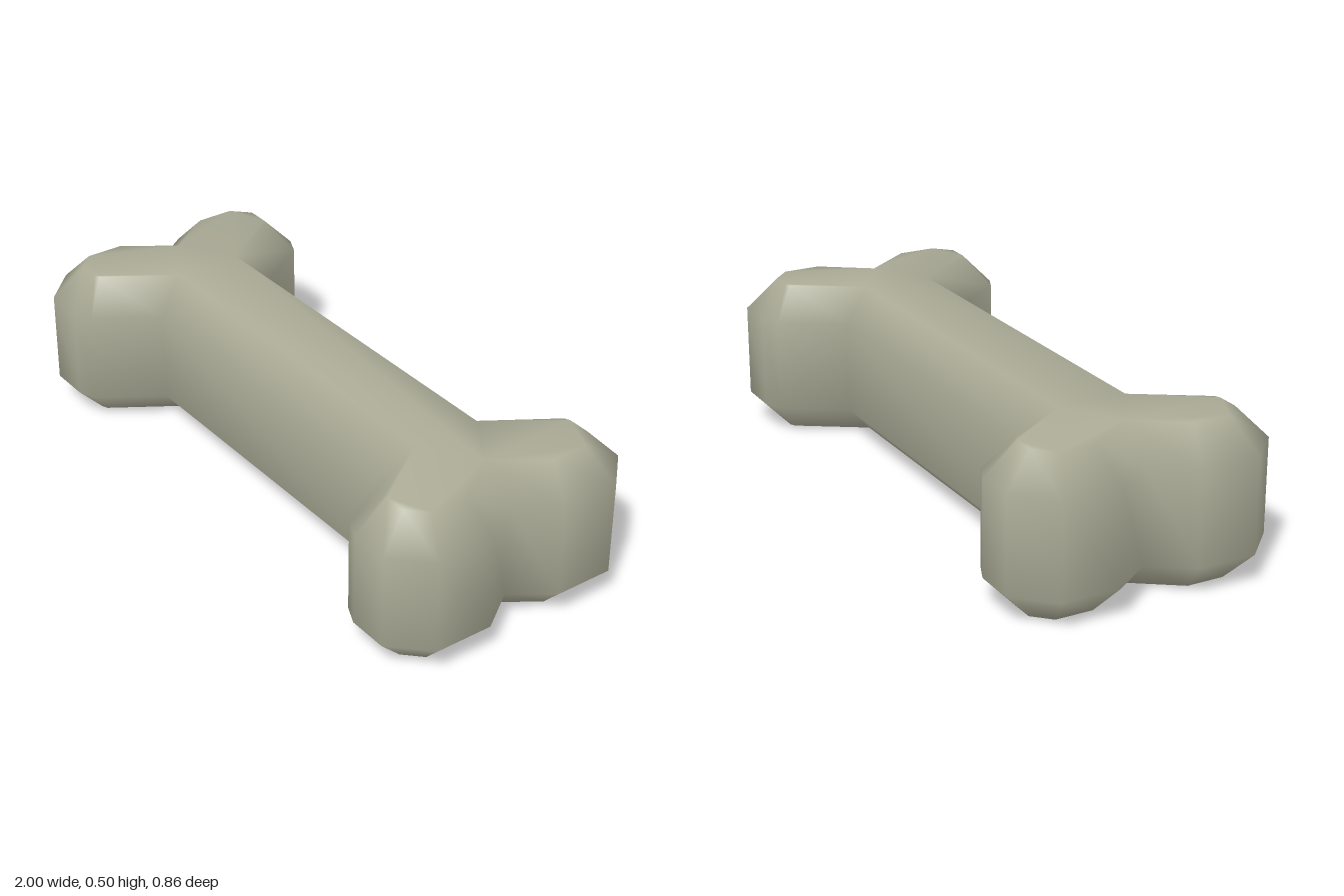
import * as THREE from 'three';
import { mergeVertices } from 'three/addons/utils/BufferGeometryUtils.js';

// Quarter outline seen from above (x, z), from shaft corner round one knob
const KNOB = [
  [0.57, 0.207], [0.695, 0.4], [0.757, 0.428], [0.888, 0.428],
  [0.998, 0.318], [0.998, 0.128],
];
const NOTCH = [0.908, 0];
const BEVEL = 0.095;

// Mirror the quarter outline into the full closed bone outline
function boneShape() {
  const mirror = (pts, sx, sy) => pts.map(([x, y]) => new THREE.Vector2(x * sx, y * sy));
  const back = [...KNOB].reverse();
  return new THREE.Shape([
    ...mirror([NOTCH, ...back], 1, 1),
    ...mirror(KNOB, -1, 1),
    ...mirror([NOTCH, ...back], -1, -1),
    ...mirror(KNOB, 1, -1),
  ]);
}

export function createModel() {
  const group = new THREE.Group();
  group.name = 'dogBone';

  const boneMaterial = new THREE.MeshStandardMaterial({ color: 0xaaaa96 });
  boneMaterial.name = 'bone';

  // Chamfered slab, welded so that shading runs smoothly over every edge
  let geometry = new THREE.ExtrudeGeometry(boneShape(), {
    depth: 0.3,
    bevelEnabled: true,
    bevelThickness: 0.1,
    bevelSize: BEVEL,
    bevelOffset: -BEVEL,
    bevelSegments: 1,
  });
  geometry.deleteAttribute('normal');
  geometry.deleteAttribute('uv');
  geometry.clearGroups();
  geometry = mergeVertices(geometry, 1e-4);
  geometry.rotateX(-Math.PI / 2);
  geometry.translate(0, 0.1, 0);
  geometry.computeVertexNormals();

  const bone = new THREE.Mesh(geometry, boneMaterial);
  bone.name = 'bone';
  group.add(bone);
  return group;
}
